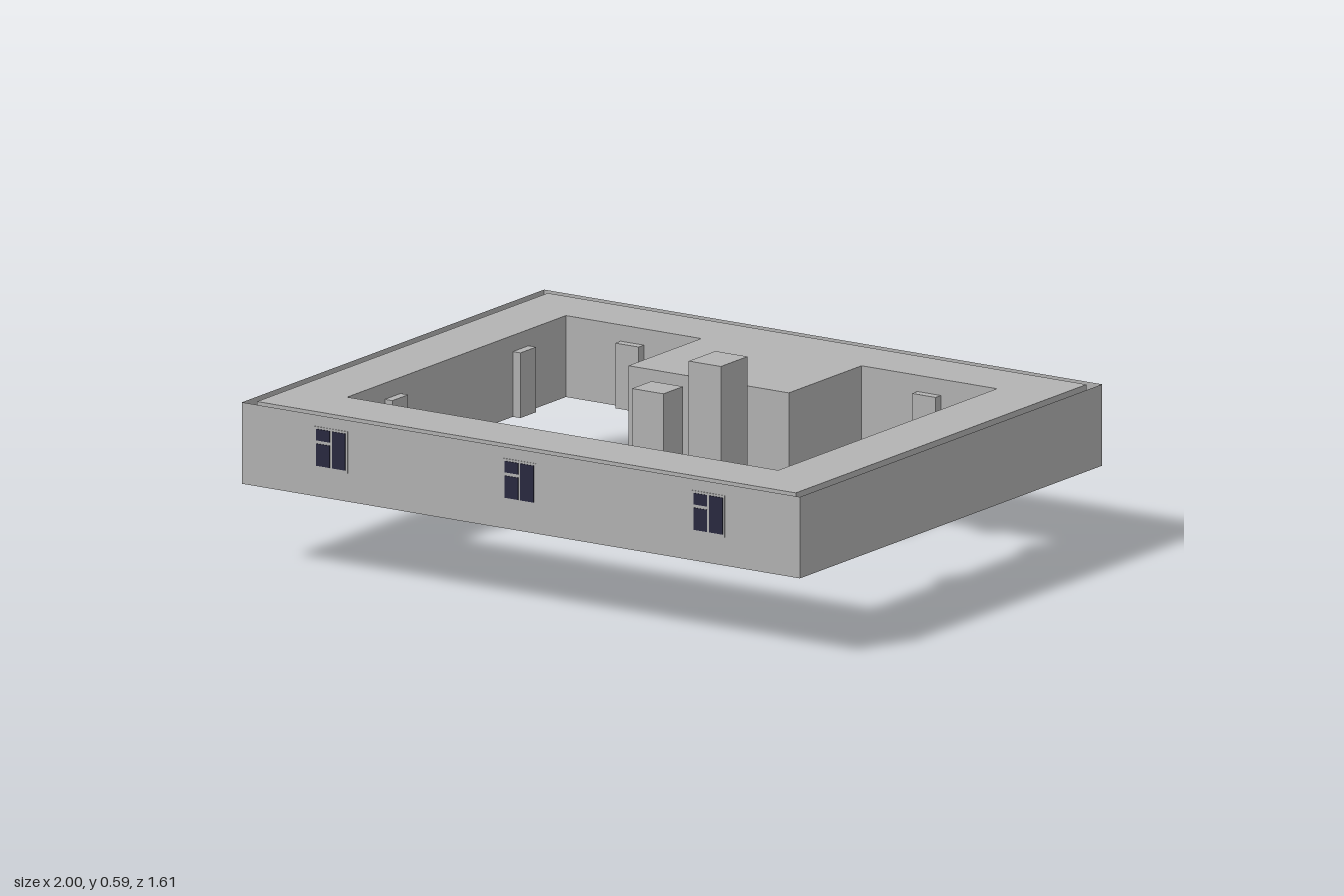
import * as THREE from 'three';

const FLOOR = 0.245, ROOF = 0.495;

export function createModel() {
  const root = new THREE.Group();
  const plaster = new THREE.MeshStandardMaterial({ color: 0xb3b3b3, side: THREE.DoubleSide });
  plaster.name = 'grey plaster';
  const glass = new THREE.MeshStandardMaterial({ color: 0x29293f });
  glass.name = 'dark glass';

  const add = (name, geometry, material = plaster, parent = root) => {
    const mesh = new THREE.Mesh(geometry, material);
    mesh.name = name;
    parent.add(mesh);
    return mesh;
  };
  // Box given by its limits on each axis
  const block = (name, x0, x1, y0, y1, z0, z1, material, parent) =>
    add(name, new THREE.BoxGeometry(x1 - x0, y1 - y0, z1 - z0), material, parent)
      .position.set((x0 + x1) / 2, (y0 + y1) / 2, (z0 + z1) / 2);

  // Ring of rooms around the courtyard, with the hall pushing in from the back
  const outline = (points) => points.map(([x, z]) => new THREE.Vector2(x, -z));
  const plan = new THREE.Shape(outline([[-0.968, -0.775], [-0.968, 0.77], [0.963, 0.77], [0.963, -0.775]]));
  plan.holes.push(new THREE.Path(outline([
    [-0.775, -0.585], [-0.29, -0.585], [-0.29, -0.198], [0.285, -0.198],
    [0.285, -0.585], [0.77, -0.585], [0.77, 0.577], [-0.775, 0.577],
  ])));
  const ring = new THREE.ExtrudeGeometry(plan, { depth: ROOF - FLOOR, bevelEnabled: false });
  ring.rotateX(-Math.PI / 2);
  add('roomRing', ring).position.y = FLOOR;

  // Thin outer skin, open at top and bottom
  for (let i = 0; i < 4; i++) {
    const alongX = i % 2 === 0;
    const skin = add('outerWall', new THREE.PlaneGeometry(alongX ? 2 : 1.606, ROOF - FLOOR));
    const angle = i * Math.PI / 2;
    const distance = alongX ? 0.803 : 1;
    skin.rotation.y = angle;
    skin.position.set(Math.sin(angle) * distance, (FLOOR + ROOF) / 2, Math.cos(angle) * distance);
  }

  // Doors: rows along x at a z range, and rows along z at an x range
  const DOOR_TOP = 0.445, HALF = 0.042;
  const doorsAlongX = [
    ['outerDoor', -0.801, -0.775, [-0.718, -0.391, -0.062, 0.265, 0.595]],
    ['courtDoor', -0.585, -0.557, [-0.537, 0.527]],
    ['courtDoor', 0.549, 0.577, [-0.537, -0.2, 0.14, 0.48]],
  ];
  for (const [name, z0, z1, centres] of doorsAlongX)
    for (const x of centres) block(name, x - HALF, x + HALF, FLOOR, DOOR_TOP, z0, z1);
  const doorsAlongZ = [
    ['outerDoor', -0.998, -0.968, [-0.293, 0.38]],
    ['courtDoor', -0.775, -0.748, [-0.345, 0.335]],
    ['courtDoor', 0.742, 0.77, [-0.46, -0.005, 0.45]],
    ['outerDoor', 0.963, 0.992, [-0.45, -0.143, 0.13, 0.48]],
  ];
  for (const [name, x0, x1, centres] of doorsAlongZ)
    for (const z of centres) block(name, x0, x1, FLOOR, DOOR_TOP, z - HALF, z + HALF);
  block('hallDoor', -0.32, -0.29, FLOOR, DOOR_TOP, -0.445, -0.335);

  // Lift cabin and tall lift shaft, each joined to the hall by a doorway
  block('liftCabin', -0.195, -0.082, 0.238, 0.465, -0.18, -0.076);
  block('cabinDoorway', -0.18, -0.1, FLOOR, DOOR_TOP, -0.198, -0.18);
  block('liftShaft', 0.037, 0.152, 0, 0.48, -0.176, -0.034);
  block('liftShaftHead', 0.037, 0.152, 0.48, 0.592, -0.176, -0.034);
  block('shaftDoorway', 0.056, 0.137, FLOOR, DOOR_TOP, -0.198, -0.176);

  // Front windows: a frame box with one tall pane and a split pane
  for (const x of [-0.679, -0.004, 0.673]) {
    const windowGroup = new THREE.Group();
    windowGroup.name = 'frontWindow';
    windowGroup.position.x = x;
    root.add(windowGroup);
    block('windowFrame', -0.059, 0.059, 0.332, 0.46, 0.77, 0.805, plaster, windowGroup);
    for (const [x0, x1, y0, y1] of [
      [-0.052, -0.004, 0.34, 0.408], [-0.052, -0.004, 0.418, 0.453], [0.004, 0.052, 0.34, 0.453],
    ]) block('windowPane', x0, x1, y0, y1, 0.803, 0.807, glass, windowGroup);
  }
  return root;
}
